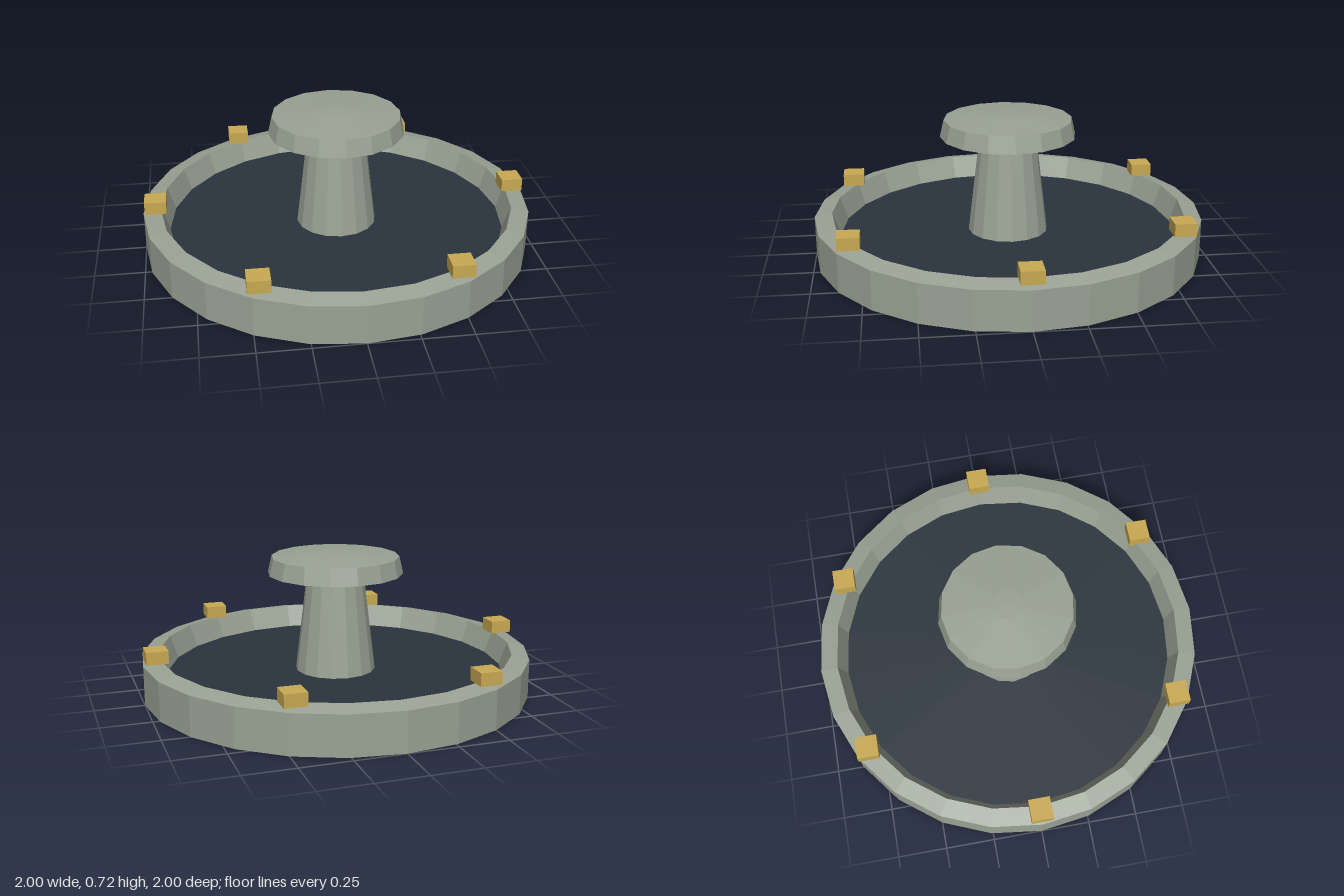
import * as THREE from 'three';

const stone = new THREE.MeshStandardMaterial({ color: 0x9aa294, flatShading: true });
stone.name = 'grey stone';
const water = new THREE.MeshStandardMaterial({ color: 0x2a343d, flatShading: true });
water.name = 'dark basin';
const gold = new THREE.MeshStandardMaterial({ color: 0xc9a952, flatShading: true });
gold.name = 'brass';

// Faceted solid of revolution from a profile running bottom to top
function turned(name, profile, sides, material) {
  const points = profile.map(([r, y]) => new THREE.Vector2(r, y));
  const mesh = new THREE.Mesh(new THREE.LatheGeometry(points, sides), material);
  mesh.name = name;
  return mesh;
}

export function createModel() {
  const model = new THREE.Group();
  model.name = 'pedestalBasin';

  // Round basin with a sloping lip and inner wall
  model.add(turned('basin', [[0, 0], [1, 0], [1, 0.2], [0.91, 0.22], [0.865, 0.09], [0, 0.09]], 24, stone));

  // Dark floor inside the basin
  const floor = new THREE.Mesh(new THREE.CircleGeometry(0.869, 24, Math.PI / 2), water);
  floor.rotation.x = -Math.PI / 2;
  floor.position.y = 0.102;
  floor.name = 'basinFloor';
  model.add(floor);

  // Tapered central column and its flared cap
  model.add(turned('column', [[0.208, 0.09], [0.15, 0.575]], 16, stone));
  model.add(turned('cap', [[0, 0.57], [0.15, 0.57], [0.348, 0.61], [0.328, 0.697], [0.08, 0.718], [0, 0.72]], 16, stone));

  // Six square studs around the lip
  for (let i = 0; i < 6; i++) {
    const a = (i * Math.PI) / 3;
    const stud = new THREE.Mesh(new THREE.BoxGeometry(0.11, 0.065, 0.11), gold);
    stud.position.set(0.935 * Math.cos(a), 0.253, 0.935 * Math.sin(a));
    stud.name = 'rimStud' + (i + 1);
    model.add(stud);
  }
  return model;
}
